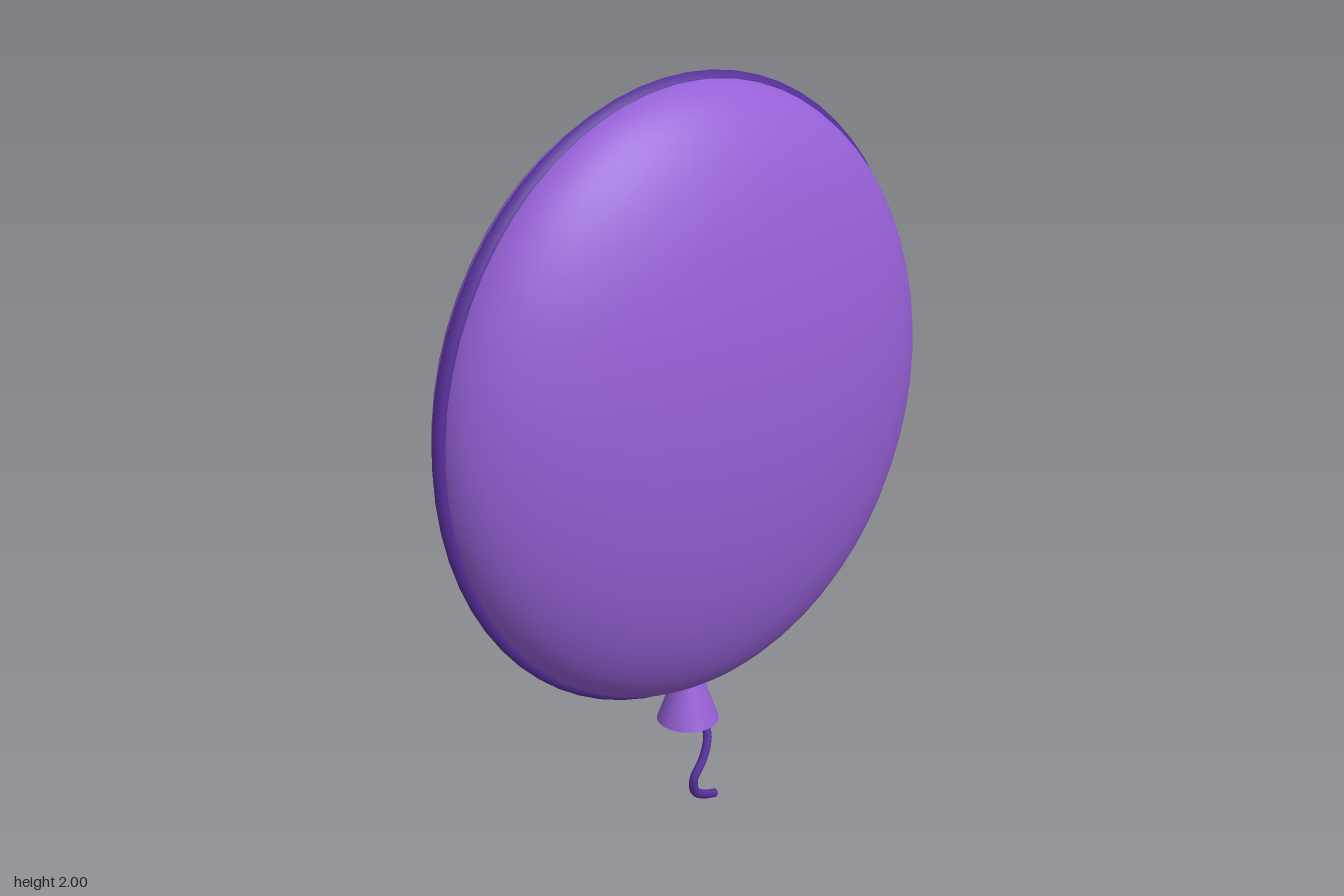
import * as THREE from 'three';

export function createModel() {
  const model = new THREE.Group();
  model.name = 'balloon';

  const purple = new THREE.MeshStandardMaterial({ color: 0x9560d6 });
  purple.name = 'purple';
  const darkPurple = new THREE.MeshStandardMaterial({ color: 0x57309c });
  darkPurple.name = 'dark purple';

  const add = (name, geometry, material, y = 0) => {
    const mesh = new THREE.Mesh(geometry, material);
    mesh.name = name;
    mesh.position.y = y;
    model.add(mesh);
    return mesh;
  };

  // Flattened inflated body
  const centreY = 1.18;
  const body = new THREE.SphereGeometry(1, 48, 32);
  body.scale(0.73, 0.805, 0.285);
  add('body', body, purple, centreY);

  // Seam with a pointed outer edge, stretched to the oval outline
  const seam = new THREE.TorusGeometry(0.727, 0.023, 6, 64);
  seam.scale(1, 0.82 / 0.75, 1);
  add('seam', seam, darkPurple, centreY);

  // Flared knot under the body
  add('knot', new THREE.CylinderGeometry(0.04, 0.083, 0.12, 24), purple, 0.327);

  // Curly string
  const path = new THREE.CatmullRomCurve3([
    [0, 0.285, -0.005], [0.035, 0.255, 0.01], [0.046, 0.21, 0.026],
    [0.022, 0.15, 0.038], [-0.012, 0.1, 0.041], [-0.004, 0.055, 0.036],
    [0.035, 0.028, 0.03], [0.073, 0.015, 0.025],
  ].map((p) => new THREE.Vector3(...p)));
  const radius = 0.0125;
  add('string', new THREE.TubeGeometry(path, 40, radius, 8), darkPurple);

  // Flat cap closing the free end of the string
  const cap = add('stringEnd', new THREE.CircleGeometry(radius, 8), darkPurple);
  cap.position.copy(path.getPoint(1));
  cap.quaternion.setFromUnitVectors(new THREE.Vector3(0, 0, 1), path.getTangent(1));

  return model;
}
